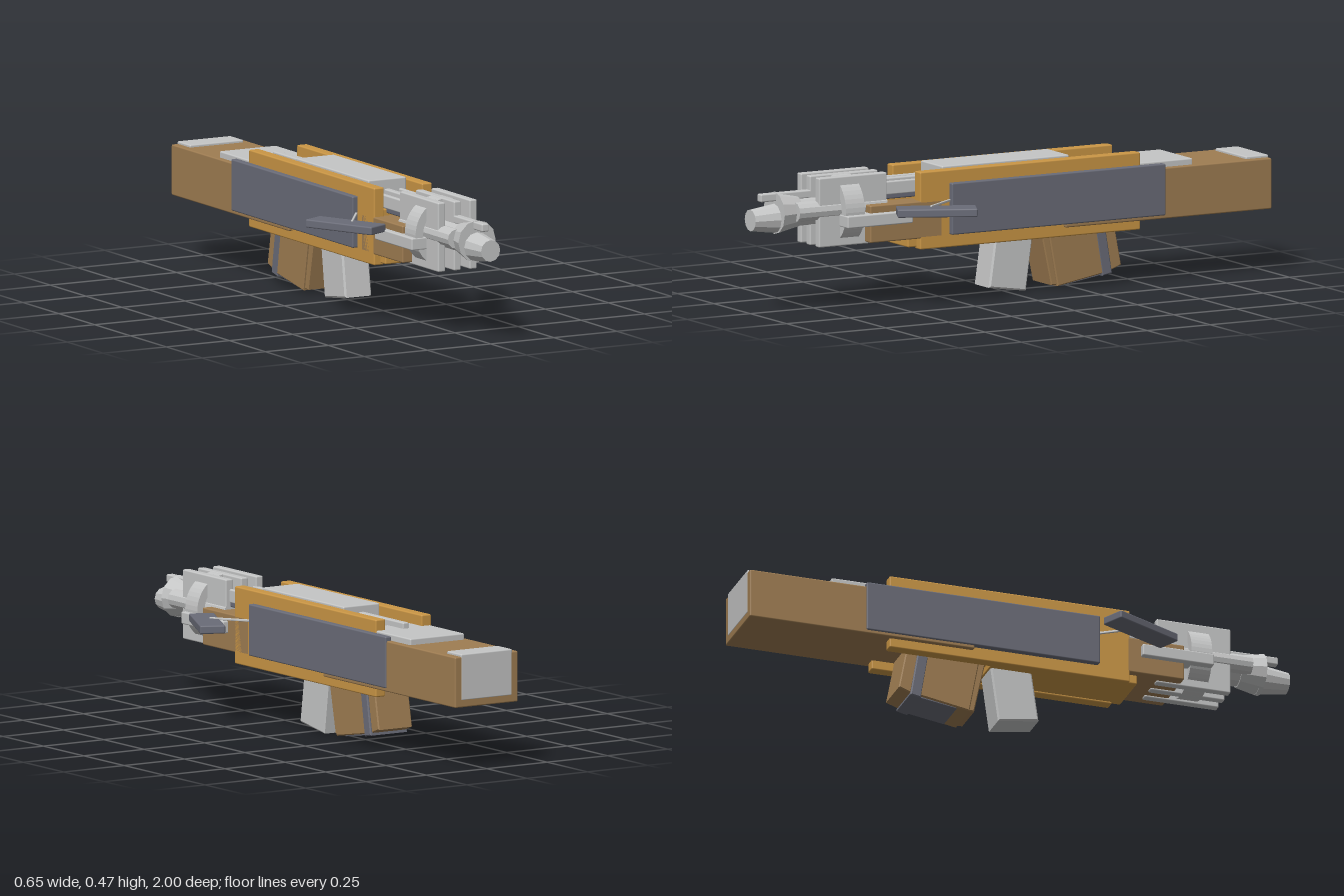
import * as THREE from 'three';
import { RoundedBoxGeometry } from 'three/addons/geometries/RoundedBoxGeometry.js';

export function createModel() {
  const model = new THREE.Group();
  model.name = 'toyRifle';
  const mat = (name, color) => {
    const m = new THREE.MeshStandardMaterial({ color });
    m.name = name;
    return m;
  };
  const brown = mat('brown', 0x9f7d52);
  const orange = mat('orange', 0xca9645);
  const grey = mat('lightGrey', 0xc5c6c6);
  const slate = mat('slate', 0x6a6c78);

  const add = (name, geometry, material) => {
    const mesh = new THREE.Mesh(geometry, material);
    mesh.name = name;
    model.add(mesh);
    return mesh;
  };

  // Softly rounded block given by its limits on each axis
  const block = (name, material, [x0, x1], [y0, y1], [z0, z1], r = 0.005) => {
    const w = x1 - x0, h = y1 - y0, d = z1 - z0;
    const g = new RoundedBoxGeometry(w, h, d, 2, Math.min(r, w / 3, h / 3, d / 3));
    const mesh = add(name, g, material);
    mesh.position.set((x0 + x1) / 2, (y0 + y1) / 2, (z0 + z1) / 2);
    return mesh;
  };
  // The same block on both sides
  const pair = (name, material, [x0, x1], y, z) => [
    block(name + 'Left', material, [x0, x1], y, z),
    block(name + 'Right', material, [-x1, -x0], y, z),
  ];
  // Side profile in (z, y), extruded across x with a small bevel
  const slab = (name, material, points, halfWidth, bevel = 0.004) => {
    const shape = new THREE.Shape(points.map(([z, y]) => new THREE.Vector2(z, y)));
    const g = new THREE.ExtrudeGeometry(shape, {
      depth: 2 * (halfWidth - bevel), bevelEnabled: true, bevelSegments: 1,
      bevelThickness: bevel, bevelSize: bevel, bevelOffset: -bevel,
    });
    g.translate(0, 0, -(halfWidth - bevel)).rotateY(-Math.PI / 2);
    return add(name, g, material);
  };
  // Round part along z
  const tube = (name, material, rBack, rFront, z0, z1, x, y, sides) => {
    const g = new THREE.CylinderGeometry(rFront, rBack, z1 - z0, sides).rotateX(Math.PI / 2);
    const mesh = add(name, g.toNonIndexed(), material);
    mesh.geometry.computeVertexNormals();
    mesh.position.set(x, y, (z0 + z1) / 2);
    return mesh;
  };

  // Stock and butt plate
  block('stock', brown, [-0.13, 0.13], [0.226, 0.403], [-0.999, -0.18]);
  block('buttPlate', grey, [-0.106, 0.106], [0.25, 0.412], [-1, -0.91]);

  // Receiver: side frames, core, floor and side panels
  pair('sideFrame', orange, [0.075, 0.115], [0.193, 0.463], [-0.485, 0.39]);
  block('receiverCore', orange, [-0.09, 0.09], [0.225, 0.385], [-0.3, 0.38]);
  block('receiverFloor', orange, [-0.09, 0.09], [0.2, 0.24], [-0.1, 0.425]);
  pair('sidePanel', slate, [0.11, 0.135], [0.238, 0.418], [-0.575, 0.275]);

  // Top cover, rear plate and the bolt between the frames
  block('topCover', grey, [-0.075, 0.075], [0.38, 0.47], [-0.225, 0.28]);
  block('rearTopPlate', grey, [-0.112, 0.112], [0.395, 0.425], [-0.695, -0.4]);
  block('boltTray', slate, [-0.075, 0.075], [0.36, 0.412], [-0.42, -0.2]);
  block('boltRod', grey, [-0.012, 0.012], [0.415, 0.446], [-0.5, -0.2]);

  // Fore-end
  block('handguard', brown, [-0.115, 0.115], [0.232, 0.362], [0.3, 0.588]);
  block('handguardInsert', orange, [-0.037, 0.037], [0.3, 0.37], [0.35, 0.56]);
  block('frontTray', slate, [-0.06, 0.06], [0.37, 0.41], [0.25, 0.5]);
  pair('frontRod', grey, [0.045, 0.062], [0.385, 0.432], [0.25, 0.52]);
  block('centreRod', grey, [-0.012, 0.012], [0.395, 0.435], [0.25, 0.52]);

  // Fins around the barrel
  pair('barrelFin', grey, [0.048, 0.077], [0.225, 0.467], [0.5, 0.77]);
  block('centreFin', grey, [-0.014, 0.014], [0.225, 0.467], [0.5, 0.77]);
  pair('sideArm', grey, [0.074, 0.136], [0.293, 0.336], [0.43, 0.69]);

  // Barrel ring
  const ring = new THREE.Shape().absarc(0, 0, 0.12, 0, Math.PI * 2);
  ring.holes.push(new THREE.Path().absarc(0, 0, 0.09, 0, Math.PI * 2, true));
  const ringGeometry = new THREE.ExtrudeGeometry(ring, { depth: 0.075, bevelEnabled: false, curveSegments: 24 });
  add('barrelRing', ringGeometry, grey).position.set(0, 0.345, 0.613);

  // Barrels, collar, muzzle and front sight
  for (const s of [1, -1]) {
    tube(s > 0 ? 'sideBarrelLeft' : 'sideBarrelRight', grey, 0.034, 0.034, 0.5, 0.85, s * 0.05, 0.352, 12);
  }
  tube('mainBarrel', grey, 0.05, 0.05, 0.5, 0.86, 0, 0.345, 12);
  tube('muzzleCollar', grey, 0.056, 0.074, 0.82, 0.905, 0, 0.348, 12);
  tube('muzzle', grey, 0.053, 0.038, 0.89, 1, 0, 0.329, 12);
  block('frontSight', grey, [-0.014, 0.014], [0.39, 0.418], [0.75, 0.965]);

  // Folded side paddles with thin struts
  for (const s of [1, -1]) {
    const side = s > 0 ? 'Left' : 'Right';
    const paddle = add('paddle' + side, new RoundedBoxGeometry(0.088, 0.029, 0.277, 2, 0.005), slate);
    paddle.position.set(s * 0.228, 0.343, 0.39);
    paddle.rotation.y = -s * 0.45;
    const strut = add('paddleStrut' + side, new RoundedBoxGeometry(0.008, 0.008, 0.165, 1, 0.002), grey);
    strut.position.set(s * 0.162, 0.358, 0.335);
    strut.rotation.y = s * 0.61;
  }

  // Magazine leaning forward
  slab('magazine', grey, [[0.05, 0.235], [0.08, 0.026], [-0.068, 0.004], [-0.1, 0.235]], 0.053, 0.006);

  // Rear grip: front strip, body, slate band, back and base
  slab('gripFront', brown, [[-0.115, 0.23], [-0.16, 0.018], [-0.19, 0.018], [-0.15, 0.23]], 0.066);
  slab('gripBody', brown, [[-0.14, 0.23], [-0.18, 0.014], [-0.39, 0.05], [-0.36, 0.23]], 0.075);
  slab('gripBand', slate, [[-0.325, 0.23], [-0.357, 0.036], [-0.396, 0.044], [-0.365, 0.23]], 0.077);
  slab('gripBack', brown, [[-0.36, 0.23], [-0.392, 0.052], [-0.436, 0.068], [-0.405, 0.23]], 0.07);
  slab('gripBase', slate, [[-0.225, 0.03], [-0.225, 0.018], [-0.394, 0.044], [-0.394, 0.056]], 0.068, 0.002);

  return model;
}
